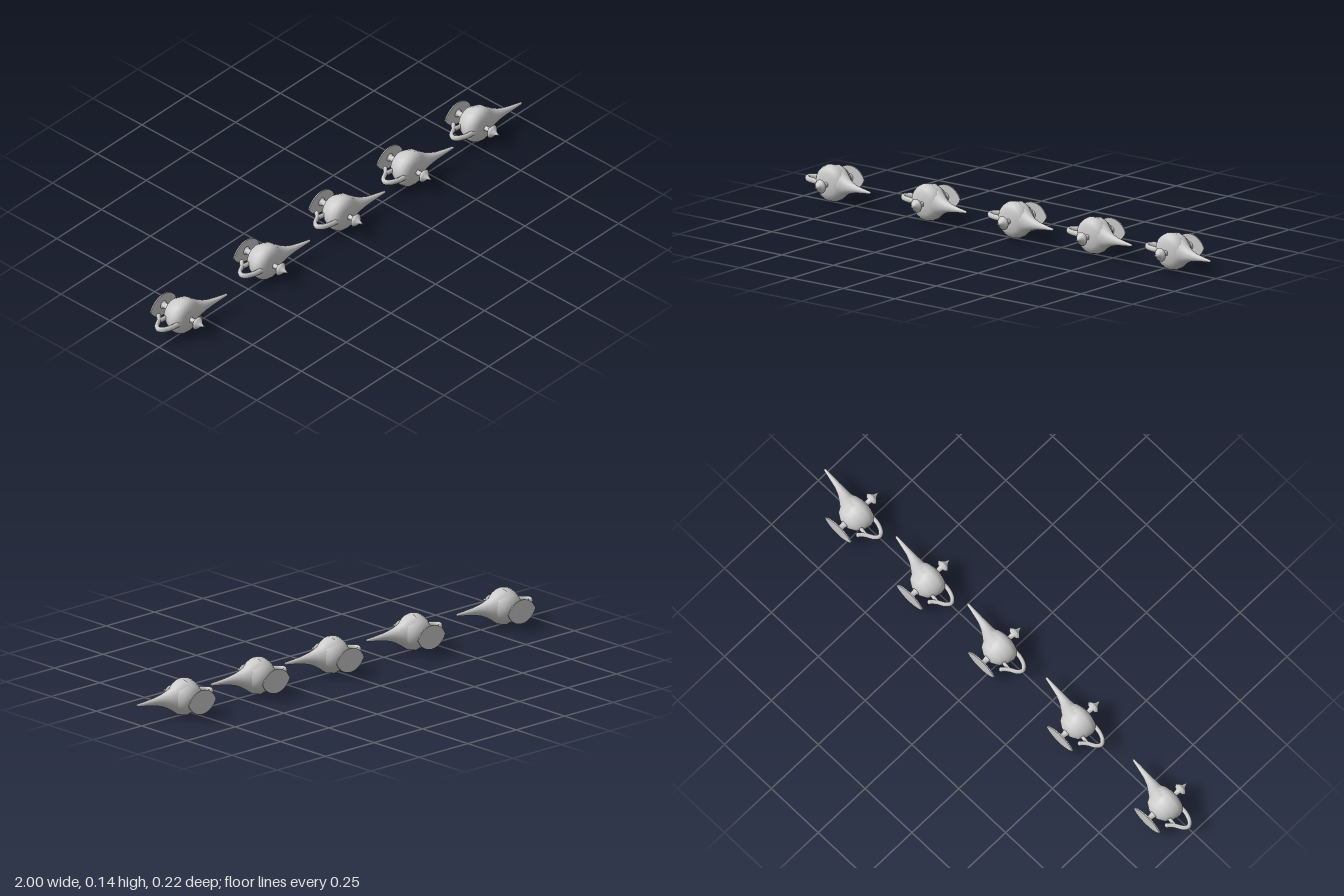
import * as THREE from 'three';

const material = new THREE.MeshStandardMaterial({ color: 0xcccccc, side: THREE.DoubleSide });

function mesh(name, geometry) {
  const m = new THREE.Mesh(geometry, material);
  m.name = name;
  return m;
}

// Turned part around the z axis from [radius, z] pairs, back to front
function turned(name, profile, sides) {
  const g = new THREE.LatheGeometry(profile.map(([r, z]) => new THREE.Vector2(r, z)), sides);
  return mesh(name, g.rotateX(Math.PI / 2));
}

// Tapering spout: elliptical rings [x, centre z, radius y, radius z]
function spoutGeometry() {
  const rings = [
    [0.01, -0.015, 0.0705, 0.054], [0.035, -0.011, 0.064, 0.046], [0.06, -0.004, 0.045, 0.034],
    [0.08, 0.004, 0.032, 0.026], [0.1, 0.011, 0.023, 0.019], [0.13, 0.018, 0.015, 0.013],
    [0.17, 0.024, 0.009, 0.009], [0.207, 0.029, 0.005, 0.005], [0.212, 0.029, 0.0005, 0.0005],
  ];
  const sides = 20, pos = [], idx = [];
  rings.forEach(([x, cz, ry, rz], i) => {
    for (let j = 0; j < sides; j++) {
      const a = (j / sides) * Math.PI * 2;
      pos.push(x, Math.cos(a) * ry, cz + Math.sin(a) * rz);
      if (i === 0) continue;
      const k = (j + 1) % sides, p = (i - 1) * sides, q = i * sides;
      idx.push(p + j, p + k, q + j, p + k, q + k, q + j);
    }
  });
  const g = new THREE.BufferGeometry();
  g.setAttribute('position', new THREE.Float32BufferAttribute(pos, 3));
  g.setIndex(idx);
  g.computeVertexNormals();
  return g;
}

// Bar swept along [x, z] points in the lamp's middle plane
function bar(name, points, radius, stretchY) {
  const path = new THREE.CatmullRomCurve3(points.map(([x, z]) => new THREE.Vector3(x, 0, z)));
  return mesh(name, new THREE.TubeGeometry(path, 28, radius, 8).scale(1, stretchY, 1));
}

// Thin leaf-shaped foot, pointed at its two long ends
function footGeometry() {
  const L = 0.07, w = 0.047, R = (L * L + w * w) / (2 * w), a = Math.asin(L / R);
  const s = new THREE.Shape();
  s.absarc(0, w - R, R, Math.PI / 2 - a, Math.PI / 2 + a, false);
  s.absarc(0, R - w, R, 1.5 * Math.PI - a, 1.5 * Math.PI + a, false);
  return new THREE.ExtrudeGeometry(s, { depth: 0.005, bevelEnabled: false, curveSegments: 14 })
    .translate(0, 0, -0.109);
}

function createLamp() {
  const lamp = new THREE.Group();
  lamp.add(
    turned('body', [
      [0, -0.075], [0.026, -0.071], [0.05, -0.056], [0.066, -0.028], [0.0725, 0],
      [0.068, 0.016], [0.058, 0.027], [0.042, 0.034], [0.02, 0.0375], [0, 0.038],
    ], 20),
    mesh('spout', spoutGeometry()),
    bar('handle', [
      [-0.05, 0.022], [-0.085, 0.018], [-0.117, 0.004], [-0.128, -0.014],
      [-0.115, -0.032], [-0.09, -0.046], [-0.073, -0.06], [-0.067, -0.067],
    ], 0.009, 1.3),
    bar('handleBridge', [[-0.09, -0.047], [-0.072, -0.044], [-0.045, -0.04]], 0.008, 1.3),
    // Rounded end of the thumb rest
    mesh('thumbRest', new THREE.SphereGeometry(0.0095, 10, 8).scale(1, 1.25, 1).translate(-0.067, 0, -0.067)),
    turned('stem', [[0.018, -0.105], [0.012, -0.1], [0.011, -0.085], [0.014, -0.075], [0.016, -0.068]], 14),
    mesh('foot', footGeometry()),
    turned('lidKnob', [
      [0.014, 0.032], [0.009, 0.04], [0.011, 0.06], [0.02, 0.063], [0.027, 0.071],
      [0.02, 0.078], [0.008, 0.089], [0, 0.109],
    ], 14),
  );
  return lamp;
}

export function createModel() {
  const group = new THREE.Group();
  group.name = 'oilLamps';
  [-0.861, -0.396, 0.024, 0.406, 0.787].forEach((x, i) => {
    const lamp = createLamp();
    lamp.name = `oilLamp${i + 1}`;
    lamp.position.set(x, 0.0725, 0);
    group.add(lamp);
  });
  return group;
}
